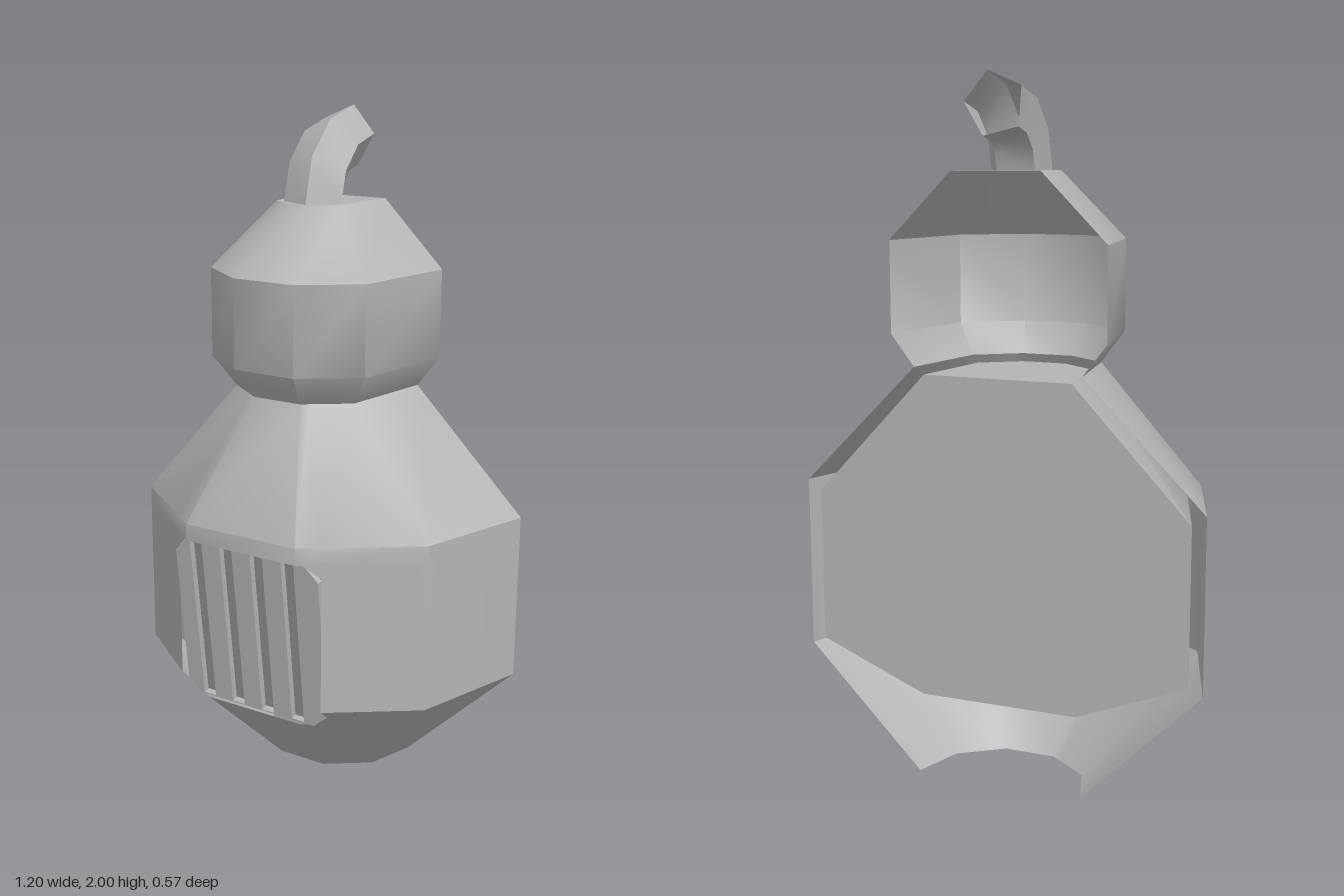
import * as THREE from 'three';
import { toCreasedNormals } from 'three/addons/utils/BufferGeometryUtils.js';

const BACK = -0.285; // flat rear plane of the half-round body
const grey = new THREE.MeshStandardMaterial({ color: 0xb4b4b4, side: THREE.DoubleSide });
grey.name = 'grey';
const slotGrey = new THREE.MeshStandardMaterial({ color: 0x909090, side: THREE.DoubleSide });
slotGrey.name = 'slot grey';

// Half decagon: radius r at height y, pushed forward by off; the two ends stay on the rear plane.
function halfRing(r, y, off = 0, maxZ = 1) {
  const pts = [];
  for (let i = 0; i <= 5; i++) {
    const a = (i * Math.PI) / 5;
    const end = i === 0 || i === 5;
    const z = end ? BACK : BACK + off + r * Math.sin(a);
    pts.push(new THREE.Vector3(r * Math.cos(a), y, Math.min(z, maxZ)));
  }
  return pts;
}

// Joins rings of points; skip(row, col) leaves openings; caps are fans of points.
function loft(rings, { skip = () => false, caps = [] } = {}) {
  const pos = [];
  const tri = (...p) => p.forEach((v) => pos.push(v.x, v.y, v.z));
  for (let r = 0; r < rings.length - 1; r++) {
    for (let c = 0; c < rings[r].length - 1; c++) {
      if (skip(r, c)) continue;
      const a = rings[r][c], b = rings[r][c + 1], d = rings[r + 1][c], e = rings[r + 1][c + 1];
      tri(a, d, b);
      tri(b, d, e);
    }
  }
  for (const cap of caps) {
    for (let i = 1; i < cap.length - 1; i++) tri(cap[0], cap[i], cap[i + 1]);
  }
  const g = new THREE.BufferGeometry();
  g.setAttribute('position', new THREE.Float32BufferAttribute(pos, 3));
  return toCreasedNormals(g, 0.68);
}

// Upright plate with cut corners and optional slots, lying in its own xy plane.
function grilleShape(slots) {
  const w = 0.245, h = 0.26, k = 0.045;
  const s = new THREE.Shape();
  [[-w + k, -h], [w - k, -h], [w, -h + k], [w, h - k], [w - k, h], [-w + k, h], [-w, h - k], [-w, -h + k]]
    .forEach(([x, y], i) => (i ? s.lineTo(x, y) : s.moveTo(x, y)));
  for (let i = 0; i < slots; i++) {
    const x = -0.17 + i * 0.105, q = 0.021, e = h - 0.004;
    const hole = new THREE.Path();
    hole.moveTo(x - q, -e);
    hole.lineTo(x - q, e);
    hole.lineTo(x + q, e);
    hole.lineTo(x + q, -e);
    s.holes.push(hole);
  }
  return s;
}

export function createModel() {
  const model = new THREE.Group();
  const add = (name, geometry, material = grey) => {
    const mesh = new THREE.Mesh(geometry, material);
    mesh.name = name;
    model.add(mesh);
    return mesh;
  };

  // Outer body shell: height, radius, forward offset, half width of the grille opening
  const bodyRings = [
    [0, 0.25, 0, 0], [0.28, 0.53, 0, 0.2], [0.32, 0.57, 0, 0.245], [0.35, 0.6, 0, 0.245],
    [0.76, 0.6, 0, 0.245], [0.8, 0.6, 0, 0.2], [0.85, 0.6, 0, 0], [1.2, 0.25, 0.14, 0],
  ].map(([y, r, off, x]) => {
    const p = halfRing(r, y, off);
    const f = x ? (x - p[2].x) / (p[1].x - p[2].x) : 0.2;
    return [p[0], p[1], p[2].clone().lerp(p[1], f), p[2], p[3], p[3].clone().lerp(p[4], f), p[4], p[5]];
  });
  add('bodyShell', loft(bodyRings, { skip: (r, c) => r >= 1 && r <= 4 && c >= 2 && c <= 4 }));

  // Closed core inside the body, with its flat back on the rear plane
  const core = [[0.24, 0.235, 0], [0.37, 0.56, 0], [0.82, 0.56, 0], [1.18, 0.22, 0.14]]
    .map(([y, r, off]) => halfRing(r, y, off, 0.17));
  const outline = [...core.map((r) => r[0]), ...core.map((r) => r[5]).reverse()];
  add('bodyCore', loft(core, { caps: [[...core[0]].reverse(), core[3], outline.reverse()] }));

  // Leaning front grille with a darker sheet behind its slots
  const lean = Math.atan2(0.06, 0.52);
  const bars = add('frontGrille', new THREE.ExtrudeGeometry(grilleShape(4), { depth: 0.02, bevelEnabled: false }));
  bars.position.set(0, 0.54, 0.215);
  bars.rotation.x = lean;
  const sheet = add('grilleBacking', new THREE.ShapeGeometry(grilleShape(0)), slotGrey);
  sheet.position.set(0, 0.54, 0.205);
  sheet.rotation.x = lean;

  // Hollow head, open at the rear
  const head = [[1.2, 0.25], [1.29, 0.32], [1.55, 0.32], [1.74, 0.13]].map(([y, r]) => halfRing(r, y, 0.14));
  add('head', loft(head, { caps: [head[3]] }));

  // Five-sided stem curving back in a quarter circle
  const stem = [];
  for (let i = 0; i <= 3; i++) {
    const u = (i * Math.PI) / 6;
    const ring = [];
    for (let j = 0; j <= 5; j++) {
      const v = ((5 + (j % 5) * 72) * Math.PI) / 180;
      const d = 0.173 + 0.09 * Math.sin(v);
      ring.push(new THREE.Vector3(0.09 * Math.cos(v), 1.74 + d * Math.sin(u), BACK + d * Math.cos(u)));
    }
    stem.push(ring);
  }
  // Reversed so the faces point outward
  add('stem', loft(stem.map((r) => r.reverse())));

  return model;
}
